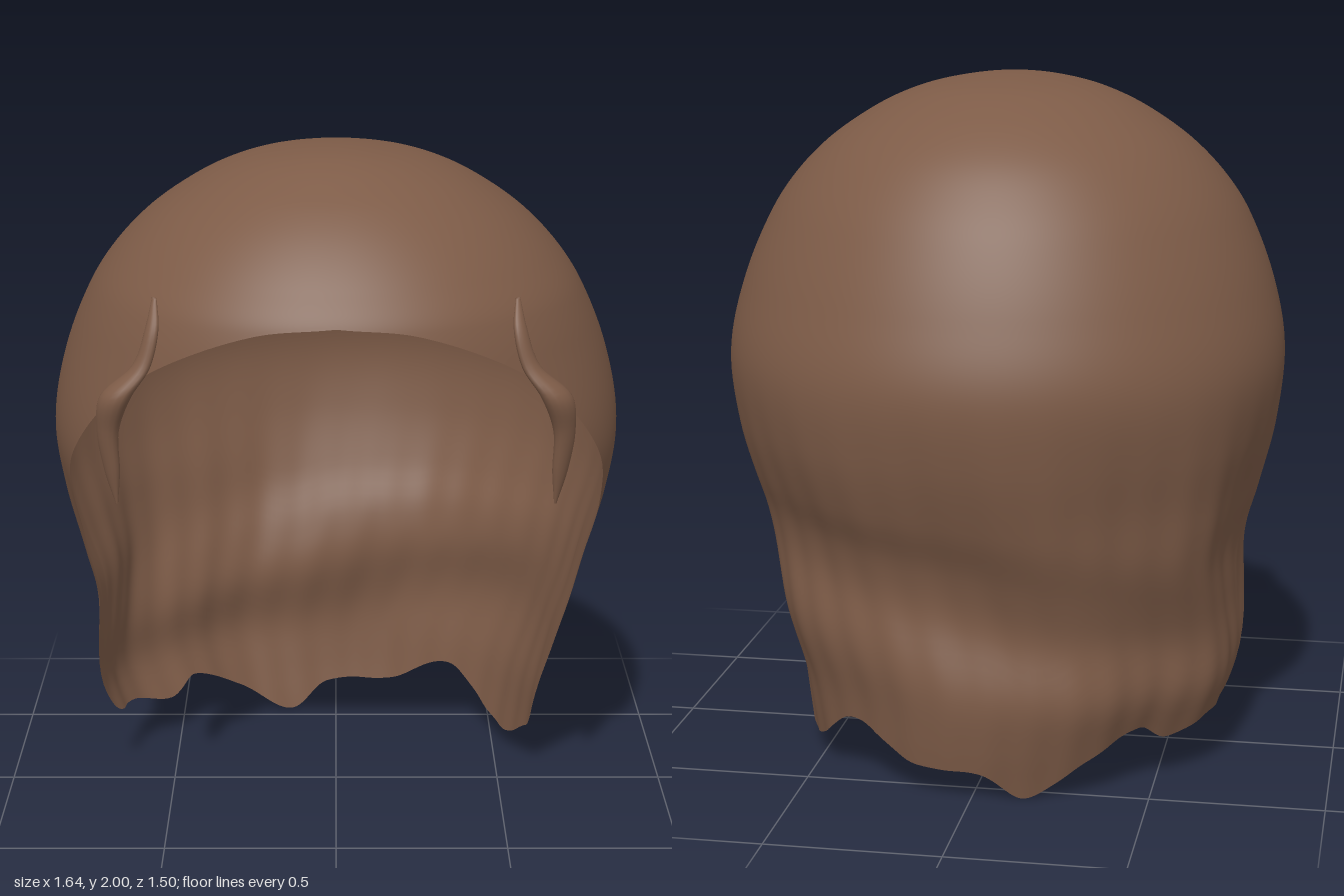
import * as THREE from 'three';

// Smooth Hermite interpolation through rows [key, a, b, ...], keys ascending
function sample(rows, key, col) {
  const n = rows.length;
  let i = 0;
  while (i < n - 2 && key > rows[i + 1][0]) i++;
  const slope = (k) => {
    const a = rows[Math.max(k - 1, 0)], b = rows[Math.min(k + 1, n - 1)];
    return (b[col] - a[col]) / (b[0] - a[0]);
  };
  const p = rows[i], q = rows[i + 1], h = q[0] - p[0];
  const s = Math.min(Math.max((key - p[0]) / h, 0), 1), s2 = s * s, s3 = s2 * s;
  return p[col] * (2 * s3 - 3 * s2 + 1) + q[col] * (3 * s2 - 2 * s3)
    + h * (slope(i) * (s3 - 2 * s2 + s) + slope(i + 1) * (s3 - s2));
}

const bump = (value, centre, width) => Math.exp(-(((value - centre) / width) ** 2));

// Rings from crown to hem: height, half width, front z, back z, x shift
const rings = [
  [2.0, 0, 0.13, 0.13, 0], [1.99, 0.13, 0.27, -0.03, 0], [1.97, 0.235, 0.345, -0.15, 0],
  [1.93, 0.345, 0.43, -0.26, 0], [1.88, 0.435, 0.515, -0.355, 0], [1.8, 0.545, 0.61, -0.46, 0],
  [1.7, 0.64, 0.695, -0.545, 0], [1.6, 0.705, 0.755, -0.608, 0], [1.4, 0.785, 0.79, -0.695, 0],
  [1.2, 0.82, 0.78, -0.75, 0], [1.0, 0.795, 0.73, -0.735, 0], [0.8, 0.74, 0.665, -0.68, 0],
  [0.65, 0.7, 0.615, -0.615, 0], [0.5, 0.68, 0.59, -0.59, -0.025], [0.3, 0.665, 0.6, -0.63, -0.055],
  [0.15, 0.635, 0.58, -0.62, -0.04], [0, 0.6, 0.56, -0.59, -0.02],
].map(([y, ...rest]) => [Math.sqrt(2 - y), ...rest]);

// Lower edge: degrees around from the front towards +x, height
const hairline = [
  [0, 1.615], [17, 1.59], [35, 1.5], [48, 1.385], [60, 1.21], [66.5, 1.1], [70, 1.0],
  [73.3, 0.9], [76.2, 0.8], [81.5, 0.6], [87, 0.38],
];
const hem = [
  ...hairline, [91, 0.2], [100, 0.12], [112, 0.06], [125, 0.09], [141, 0.19], [160, 0.1],
  [180, 0.08], [193, 0.0], [208, 0.1], [225, 0.18], [236, 0.13], [250, 0.17], [263, 0.19], [269, 0.25],
  ...hairline.slice(1).reverse().map(([a, y]) => [360 - a, y]), [360, 1.615],
];

function hairPoint(deg, y) {
  const t = THREE.MathUtils.degToRad(deg), sin = Math.sin(t), cos = Math.cos(t);
  const q = Math.sqrt(Math.max(2 - y, 0));
  const [w, front, shift] = [1, 2, 4].map((c) => sample(rings, q, c));
  // The hollow above the nape runs diagonally, higher towards +x
  const slant = cos < 0 ? 0.16 * sin * bump(y, 0.55, 0.28) : 0;
  const back = sample(rings, Math.sqrt(Math.max(2 - y + slant, 0)), 3);
  // Wavy folds, strongest towards -x, and fine strands grow below the widest ring
  const fade = THREE.MathUtils.smoothstep(1.25 - y, 0, 0.6);
  const fold = (0.013 - 0.007 * sin) * Math.sin(9 * t + 3 * y);
  // The back swells on its +x corner and tapers in at its -x corner
  const corners = 0.06 * bump(deg, 135, 32) * bump(y, 0.45, 0.2)
    + bump(deg, 222, 28) * (0.035 * bump(y, 0.65, 0.15) - 0.08 * bump(y, 0.1, 0.25));
  const r = 1 + fade * (fold + 0.003 * Math.sin(34 * t + 4 * y)) + corners;
  // Squarer front corners towards the temples
  const power = cos > 0 ? 2 / (2.08 + 0.32 * THREE.MathUtils.smoothstep(1.5 - y, 0, 0.4)) : 1;
  const round = (v) => Math.sign(v) * Math.abs(v) ** power;
  return [shift + w * r * round(sin), y, (front + back) / 2 + (front - back) / 2 * r * round(cos)];
}

// Grid surface whose columns wrap around
function gridGeometry(cols, rows, point) {
  const pos = [], index = [];
  for (let i = 0; i < cols; i++) for (let j = 0; j <= rows; j++) pos.push(...point(i, j));
  for (let i = 0; i < cols; i++) for (let j = 0; j < rows; j++) {
    const a = i * (rows + 1) + j, b = ((i + 1) % cols) * (rows + 1) + j;
    index.push(a, a + 1, b, b, a + 1, b + 1);
  }
  const g = new THREE.BufferGeometry();
  g.setAttribute('position', new THREE.Float32BufferAttribute(pos, 3));
  g.setIndex(index);
  g.computeVertexNormals();
  return g;
}

// Loose lock in front of the ear: path points with radii
const lock = [
  [0.49, 1.655, 0.555, 0.008], [0.495, 1.58, 0.595, 0.022], [0.525, 1.48, 0.615, 0.03],
  [0.595, 1.4, 0.627, 0.05], [0.62, 1.3, 0.608, 0.037], [0.612, 1.18, 0.594, 0.026], [0.602, 1.085, 0.59, 0.004],
];
function lockGeometry(side) {
  const curve = new THREE.CatmullRomCurve3(lock.map(([x, y, z]) => new THREE.Vector3(x, y, z)));
  const radii = lock.map((p, i) => [i / (lock.length - 1), p[3]]);
  const rows = 36, cols = 14;
  return gridGeometry(cols, rows, (i, j) => {
    const a = -side * i / cols * Math.PI * 2, p = curve.getPoint(j / rows);
    const r = Math.max(sample(radii, j / rows, 1), 0.002);
    // Flattened section, with its flat face turned outwards
    const u = r * Math.cos(a), v = 0.7 * r * Math.sin(a);
    return [side * (p.x + 0.7 * u + 0.7 * v), p.y, p.z - 0.7 * u + 0.7 * v];
  });
}

export function createModel() {
  const group = new THREE.Group();
  group.name = 'hair';
  const brown = new THREE.MeshStandardMaterial({ color: 0x7d5b47, side: THREE.DoubleSide });
  brown.name = 'brown hair';
  const add = (name, geometry) => {
    const mesh = new THREE.Mesh(geometry, brown);
    mesh.name = name;
    group.add(mesh);
  };

  // Open shell from the crown to the hairline and wavy hem
  const cols = 300, rows = 90;
  add('hairShell', gridGeometry(cols, rows, (i, j) => {
    const deg = i / cols * 360, end = Math.max(sample(hem, deg, 1), 0);
    return hairPoint(deg, 2 - (2 - end) * Math.pow(j / rows, 1.7));
  }));

  add('leftLock', lockGeometry(1));
  add('rightLock', lockGeometry(-1));
  return group;
}
